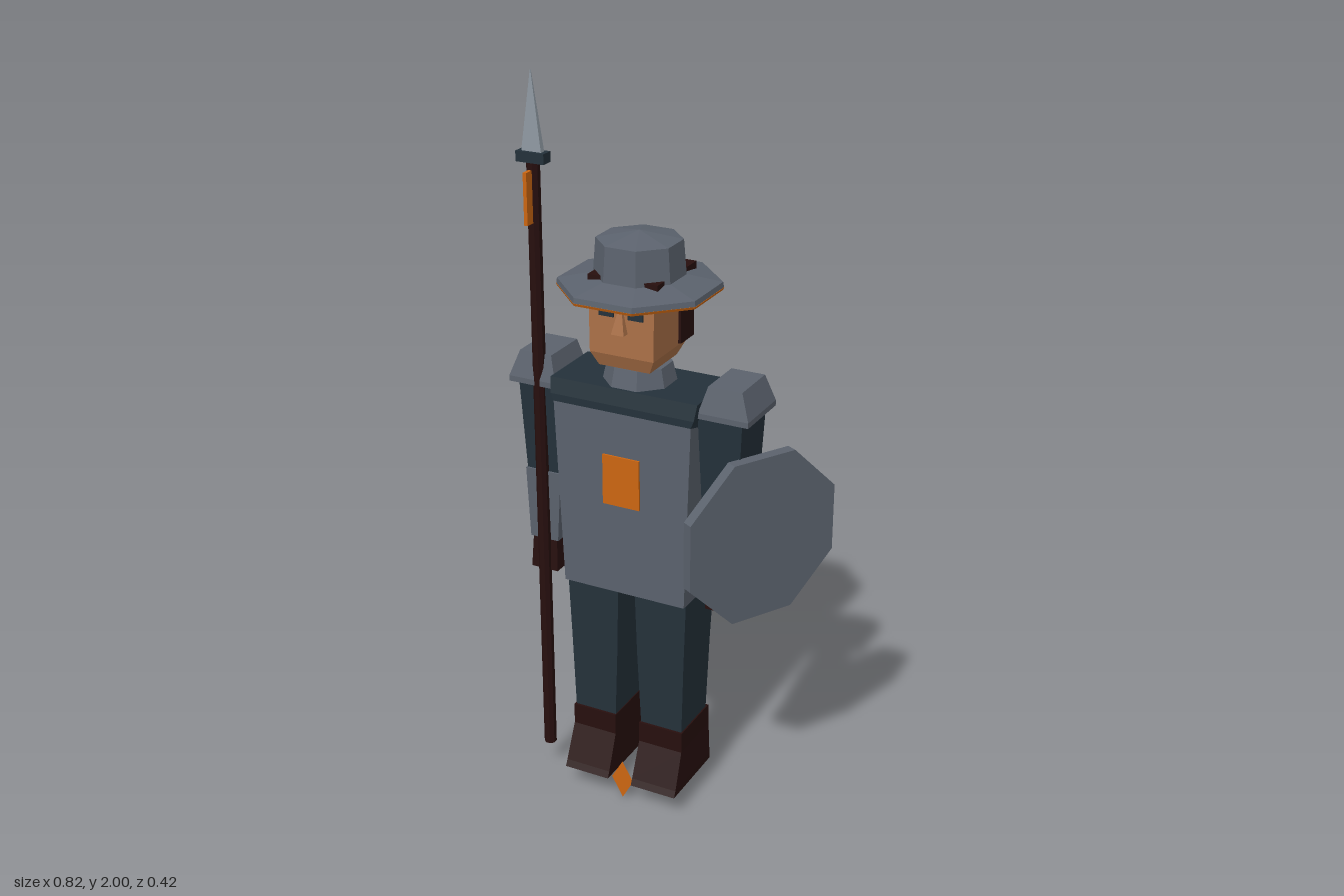
import * as THREE from 'three';

const mat = (name, color, side = THREE.FrontSide) => {
  const m = new THREE.MeshStandardMaterial({ color, flatShading: true, side });
  m.name = name;
  return m;
};

// Stacked rectangular sections: [y, x0, x1, z0, z1, optional y of the back edge]
function loft(rings) {
  const pos = [], idx = [];
  for (const [y, x0, x1, z0, z1, yb = y] of rings) {
    pos.push(x0, y, z1, x1, y, z1, x1, yb, z0, x0, yb, z0);
  }
  for (let r = 0; r < rings.length - 1; r++) {
    for (let i = 0; i < 4; i++) {
      const a = r * 4 + i, b = r * 4 + (i + 1) % 4;
      idx.push(a, b, b + 4, a, b + 4, a + 4);
    }
  }
  const t = (rings.length - 1) * 4;
  idx.push(0, 2, 1, 0, 3, 2, t, t + 1, t + 2, t, t + 2, t + 3);
  const g = new THREE.BufferGeometry();
  g.setAttribute('position', new THREE.Float32BufferAttribute(pos, 3));
  g.setIndex(idx);
  const flat = g.toNonIndexed();
  flat.computeVertexNormals();
  return flat;
}

// Octagonal frustum sized by its flat-to-centre distance
function octagon(top, bottom, y0, y1) {
  const k = 1 / Math.cos(Math.PI / 8);
  return new THREE.CylinderGeometry(top * k, bottom * k, y1 - y0, 8)
    .rotateY(Math.PI / 8).translate(0, (y0 + y1) / 2, 0);
}

const block = (x0, x1, y0, y1, z0, z1) => loft([[y0, x0, x1, z0, z1], [y1, x0, x1, z0, z1]]);

export function createModel() {
  const steel = mat('steel', 0x5b626d);
  const blade = mat('bright steel', 0x8e98a1);
  const navy = mat('navy cloth', 0x24313a);
  const leather = mat('dark leather', 0x270f0e);
  const skin = mat('skin', 0xaa7047);
  const orange = mat('orange', 0xcc6611, THREE.DoubleSide);

  const model = new THREE.Group();
  model.name = 'guard';
  const body = new THREE.Group();
  body.name = 'body';
  body.position.x = -0.07;
  model.add(body);
  const add = (name, geometry, material, parent = body) => {
    const m = new THREE.Mesh(geometry, material);
    m.name = name;
    parent.add(m);
    return m;
  };

  // Torso: breastplate with cloth yoke, collar and emblem
  add('breastplate', loft([
    [0.64, -0.178, 0.178, -0.115, 0.085],
    [1.16, -0.197, 0.197, -0.12, 0.09, 1.1],
  ]), steel);
  add('yoke', loft([
    [1.16, -0.197, 0.197, -0.12, 0.09, 1.1],
    [1.18, -0.205, 0.205, -0.12, 0.09],
    [1.222, -0.21, 0.21, -0.115, 0.08],
  ]), navy);
  add('collar', octagon(0.078, 0.09, 1.215, 1.272), steel).position.z = -0.015;
  add('neck', octagon(0.06, 0.06, 1.25, 1.3), skin).position.z = -0.015;
  add('chestEmblem', block(-0.054, 0.052, 0.9, 1.04, 0.086, 0.094), orange);

  // Head
  add('head', loft([
    [1.277, -0.072, 0.072, -0.08, 0.07],
    [1.315, -0.09, 0.09, -0.1, 0.085],
    [1.48, -0.092, 0.092, -0.1, 0.083],
  ]), skin);
  add('nose', loft([
    [1.378, -0.018, 0.018, 0.07, 0.105],
    [1.43, -0.007, 0.007, 0.07, 0.092],
  ]), skin);
  for (const s of [-1, 1]) {
    add('eye', block(s * 0.041 - 0.021, s * 0.041 + 0.021, 1.417, 1.437, 0.081, 0.088), navy);
  }
  add('backHair', block(-0.098, 0.098, 1.32, 1.48, -0.125, -0.052), leather);
  add('topHair', block(-0.098, 0.098, 1.468, 1.515, -0.138, 0.076), leather);

  // Wide octagonal hat
  const hat = new THREE.Group();
  hat.name = 'hat';
  hat.position.z = -0.016;
  body.add(hat);
  add('brimLining', octagon(0.196, 0.193, 1.466, 1.473), orange, hat);
  add('brimEdge', octagon(0.193, 0.195, 1.473, 1.487), steel, hat);
  add('brimTop', octagon(0.11, 0.193, 1.487, 1.505), steel, hat);
  add('crown', octagon(0.102, 0.109, 1.5, 1.596), steel, hat);
  add('crownTop', octagon(0.001, 0.102, 1.596, 1.617), steel, hat);

  // Arms and legs
  for (const s of [-1, 1]) {
    const limb = (name, rings, material) => add((s > 0 ? 'left' : 'right') + name,
      loft(rings.map(([y, a, b, ...z]) => (s > 0 ? [y, a, b, ...z] : [y, -b, -a, ...z]))), material);
    limb('ShoulderPad', [
      [1.18, 0.205, 0.343, -0.1, 0.067],
      [1.195, 0.205, 0.343, -0.1, 0.067],
      [1.265, 0.225, 0.318, -0.085, 0.05],
    ], steel);
    limb('UpperArm', [
      [0.93, 0.208, 0.309, -0.08, 0.045],
      [1.2, 0.198, 0.322, -0.09, 0.055],
    ], navy);
    limb('Forearm', [
      [0.725, 0.222, 0.306, -0.065, 0.045],
      [0.93, 0.206, 0.312, -0.082, 0.05],
    ], steel);
    limb('Hand', [
      [0.635, 0.223, 0.303, -0.055, 0.05],
      [0.725, 0.225, 0.298, -0.05, 0.045],
    ], leather);
    limb('Leg', [
      [0.23, 0.04, 0.163, -0.085, 0.065],
      [0.46, 0.03, 0.17, -0.092, 0.068],
      [0.645, 0.025, 0.177, -0.1, 0.07],
    ], navy);
    limb('Boot', [
      [0.062, 0.036, 0.17, -0.1, 0.122],
      [0.08, 0.036, 0.17, -0.1, 0.113],
      [0.18, 0.037, 0.167, -0.098, 0.072],
      [0.24, 0.037, 0.167, -0.095, 0.072],
    ], leather);
  }

  // Spear held in the right hand
  const spear = new THREE.Group();
  spear.name = 'spear';
  spear.position.set(-0.33, 0, 0.052);
  model.add(spear);
  add('shaft', octagon(0.016, 0.016, 0.08, 1.79), leather, spear);
  add('spearGuard', block(-0.04, 0.04, 1.773, 1.8, -0.017, 0.017), navy, spear);
  add('spearBlade', loft([
    [1.8, -0.028, 0.028, -0.008, 0.008],
    [2.0, -0.001, 0.001, -0.001, 0.001],
  ]), blade, spear);
  add('spearRibbon', block(-0.005, 0.005, 1.62, 1.755, 0.012, 0.043), orange, spear);

  // Octagonal shield on the left arm
  const shield = new THREE.Group();
  shield.name = 'shield';
  shield.position.set(0.285, 0.86, 0.005);
  shield.rotation.y = Math.PI / 3;
  model.add(shield);
  add('shieldPlate', octagon(0.224, 0.224, -0.015, 0.015).rotateX(Math.PI / 2), steel, shield);
  add('shieldLining', octagon(0.192, 0.192, -0.024, -0.015).rotateX(Math.PI / 2), orange, shield);
  add('shieldGrip', block(-0.05, 0.05, -0.02, 0.02, -0.05, -0.022), navy, shield);

  // Small diamond marker between the feet
  const diamond = new THREE.Shape([[0, 0], [0.033, 0.06], [0, 0.118], [-0.033, 0.06]]
    .map(([x, y]) => new THREE.Vector2(x, y)));
  add('diamondMarker', new THREE.ShapeGeometry(diamond), orange).position.z = 0.102;

  return model;
}
